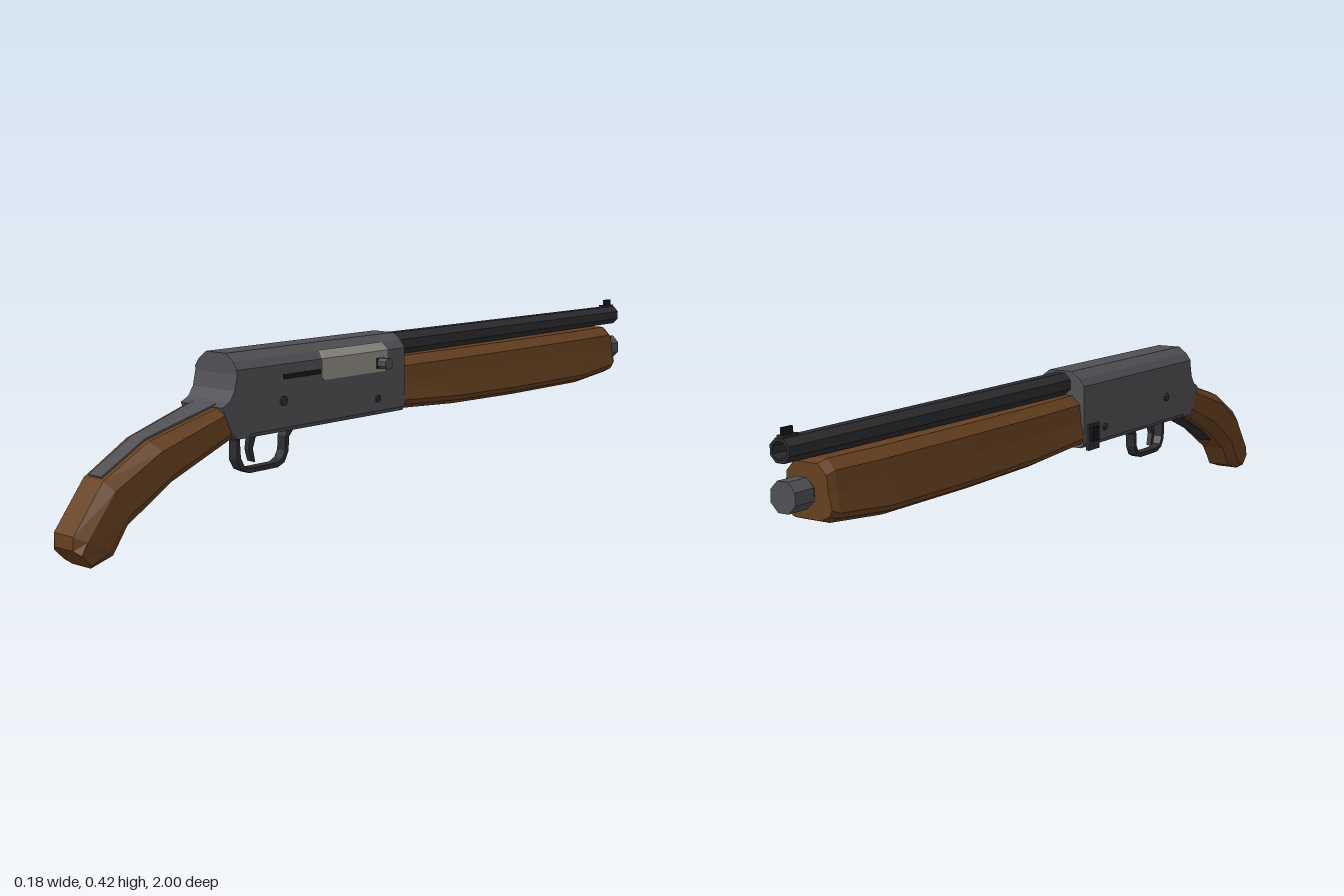
import * as THREE from 'three';

const mat = (color) => new THREE.MeshStandardMaterial({ color, flatShading: true, side: THREE.DoubleSide });
const steel = mat(0x505054), dark = mat(0x2c2c2f), black = mat(0x151517), wood = mat(0x66401f), bright = mat(0x8e8c82);

// Closed ring from the right-hand half of a cross-section [x, y, z], listed bottom to top
const ring = (half) => [...half, ...half.slice().reverse().map(([x, y, z]) => [-x, y, z])];

// Flat-shaded skin over rings ordered towards +z, with end caps
function loft(rings) {
  const pos = [], n = rings[0].length;
  const tri = (...pts) => pts.forEach((p) => pos.push(...p));
  for (let i = 0; i < rings.length - 1; i++) {
    for (let j = 0; j < n; j++) {
      const k = (j + 1) % n;
      const a = rings[i][j], b = rings[i][k], c = rings[i + 1][k], d = rings[i + 1][j];
      tri(a, b, c);
      tri(a, c, d);
    }
  }
  const first = rings[0], last = rings[rings.length - 1];
  for (let j = 1; j < n - 1; j++) {
    tri(first[0], first[j + 1], first[j]);
    tri(last[0], last[j], last[j + 1]);
  }
  const geo = new THREE.BufferGeometry();
  geo.setAttribute('position', new THREE.Float32BufferAttribute(pos, 3));
  geo.computeVertexNormals();
  return geo;
}

// Side profile of [z, y] points given thickness across x
function sidePlate(outline, width, hole) {
  const toVec = (pts) => pts.map(([z, y]) => new THREE.Vector2(z, y));
  const shape = new THREE.Shape(toVec(outline));
  if (hole) shape.holes.push(new THREE.Path(toVec(hole)));
  const geo = new THREE.ExtrudeGeometry(shape, { depth: width, bevelEnabled: false });
  return geo.rotateY(-Math.PI / 2).translate(width / 2, 0, 0);
}

export function createModel() {
  const model = new THREE.Group();
  model.name = 'sawnOffShotgun';
  const body = new THREE.Group();
  body.name = 'body';
  body.position.x = -0.01;
  model.add(body);

  const add = (name, geo, material, x = 0, y = 0, z = 0) => {
    const mesh = new THREE.Mesh(geo, material);
    mesh.name = name;
    mesh.position.set(x, y, z);
    body.add(mesh);
    return mesh;
  };
  const box = (name, material, w, h, d, x, y, z) => add(name, new THREE.BoxGeometry(w, h, d), material, x, y, z);
  const rod = (name, material, r, length, x, y, z, axis, sides = 8) => {
    const geo = new THREE.CylinderGeometry(r, r, length, sides).rotateY(Math.PI / sides);
    if (axis === 'x') geo.rotateZ(Math.PI / 2);
    else geo.rotateX(Math.PI / 2);
    return add(name, geo, material, x, y, z);
  };

  // Receiver with bevelled top
  const receiverRing = (z) => ring([
    [0.06, 0.22, z], [0.068, 0.23, z], [0.068, 0.375, z], [0.055, 0.393, z], [0.032, 0.41, z],
  ]);
  add('receiver', loft([receiverRing(0.015), receiverRing(0.575)]), steel);
  add('receiverRear', sidePlate([
    [0.54, 0.222], [0.575, 0.222], [0.592, 0.235], [0.62, 0.297],
    [0.598, 0.308], [0.583, 0.33], [0.575, 0.365], [0.54, 0.365],
  ], 0.136), steel);

  // Pistol grip: tilted octagonal sections
  const gripRing = ([zt, yt, zb, yb, w, flat]) => ring(
    [[flat, 0], [w, 0.22], [w, 0.78], [flat, 1]].map(([x, t]) => [x, yb + (yt - yb) * t, zb + (zt - zb) * t]));
  add('grip', loft([
    [0.618, 0.296, 0.578, 0.223, 0.067, 0.05],
    [0.80, 0.245, 0.74, 0.15, 0.062, 0.036],
    [0.92, 0.178, 0.86, 0.075, 0.053, 0.032],
    [1.00, 0.075, 0.90, 0.018, 0.05, 0.032],
    [1.00, 0.045, 0.957, 0.001, 0.046, 0.03],
  ].map(gripRing)), wood);

  // Steel tangs let into the grip, above and below
  const tang = (name, material, path) => add(name, loft(path.map(([z, y, w]) =>
    ring([[w, y - 0.006, z - 0.003], [w, y + 0.003, z + 0.001]]))), material);
  tang('upperTang', steel, [[0.605, 0.301, 0.036], [0.80, 0.246, 0.023], [0.915, 0.182, 0.021]]);
  tang('lowerTang', dark, [[0.575, 0.226, 0.03], [0.74, 0.152, 0.022], [0.80, 0.115, 0.02]]);

  // Fore-end: swells towards the bottom and tapers at the front
  const foreRing = ([z, w, bottom, top]) => ring([
    [w - 0.03, bottom, z], [w - 0.006, bottom + 0.012, z], [w, bottom + 0.024, z],
    [w - 0.008, 0.285, z], [w - 0.012, top - 0.022, z], [w - 0.034, top, z],
  ]);
  add('foreEnd', loft([
    [-0.925, 0.064, 0.226, 0.342],
    [-0.905, 0.07, 0.219, 0.35],
    [-0.75, 0.078, 0.206, 0.35],
    [-0.45, 0.079, 0.206, 0.35],
    [-0.2, 0.076, 0.21, 0.35],
    [0.015, 0.068, 0.221, 0.35],
  ].map(foreRing)), wood);

  // Barrel with an open bore, running forward to the muzzle
  const barrel = new THREE.LatheGeometry([
    [0.031, -0.02], [0.027, 1], [0.02, 1], [0.02, 0.75], [0.0001, 0.75],
  ].map(([r, l]) => new THREE.Vector2(r, l)), 8, Math.PI / 8);
  add('barrel', barrel.rotateX(-Math.PI / 2), dark, 0, 0.377, 0);
  box('frontSight', black, 0.006, 0.022, 0.03, 0, 0.411, -0.978);
  box('frontSightBase', dark, 0.018, 0.008, 0.045, 0, 0.403, -0.975);

  // Magazine tube and cap
  rod('magazineTube', dark, 0.022, 0.05, 0, 0.283, -0.935, 'z');
  rod('magazineCap', steel, 0.035, 0.055, 0, 0.283, -0.9675, 'z');

  // Bolt in the ejection port, its slot and handle
  const boltRing = (z, inset) => [
    [0.05, 0.325 + inset, z], [0.0695, 0.325 + inset, z], [0.0695, 0.3755, z],
    [0.0565, 0.3945 - inset, z], [0.045, 0.385, z],
  ];
  add('bolt', loft([boltRing(0.08, 0.006), boltRing(0.09, 0), boltRing(0.30, 0), boltRing(0.31, 0.006)]), bright);
  box('boltSlot', black, 0.004, 0.012, 0.125, 0.067, 0.346, 0.37);
  box('boltHandleSlot', black, 0.003, 0.026, 0.026, 0.0695, 0.346, 0.107);
  rod('boltHandleStem', dark, 0.008, 0.02, 0.07, 0.346, 0.107, 'x');
  rod('boltHandle', steel, 0.014, 0.026, 0.085, 0.346, 0.107, 'x');

  // Cross pins on both sides, release button on the left of the front view
  for (const side of [-1, 1]) {
    rod('rearPin', dark, 0.011, 0.008, side * 0.069, 0.292, 0.435, 'x');
    rod('frontPin', dark, 0.009, 0.006, side * 0.069, 0.26, 0.115, 'x');
  }
  box('releasePlate', dark, 0.008, 0.065, 0.05, -0.07, 0.245, 0.055);
  box('releaseButton', black, 0.012, 0.035, 0.03, -0.074, 0.252, 0.055);

  // Loading port underneath
  box('loadingPort', black, 0.08, 0.004, 0.23, 0, 0.2195, 0.21);

  // Trigger guard and curved trigger
  add('triggerGuard', sidePlate(
    [[0.54, 0.224], [0.528, 0.205], [0.528, 0.16], [0.515, 0.138], [0.49, 0.127], [0.4, 0.127],
      [0.378, 0.136], [0.365, 0.16], [0.362, 0.195], [0.335, 0.224]],
    0.026,
    [[0.519, 0.214], [0.516, 0.165], [0.506, 0.146], [0.487, 0.138], [0.403, 0.138],
      [0.386, 0.146], [0.376, 0.163], [0.374, 0.197], [0.365, 0.214]]), dark);
  add('trigger', sidePlate([
    [0.44, 0.224], [0.464, 0.205], [0.473, 0.18], [0.466, 0.148],
    [0.478, 0.152], [0.486, 0.18], [0.482, 0.205], [0.47, 0.224],
  ], 0.014), dark);

  return model;
}
